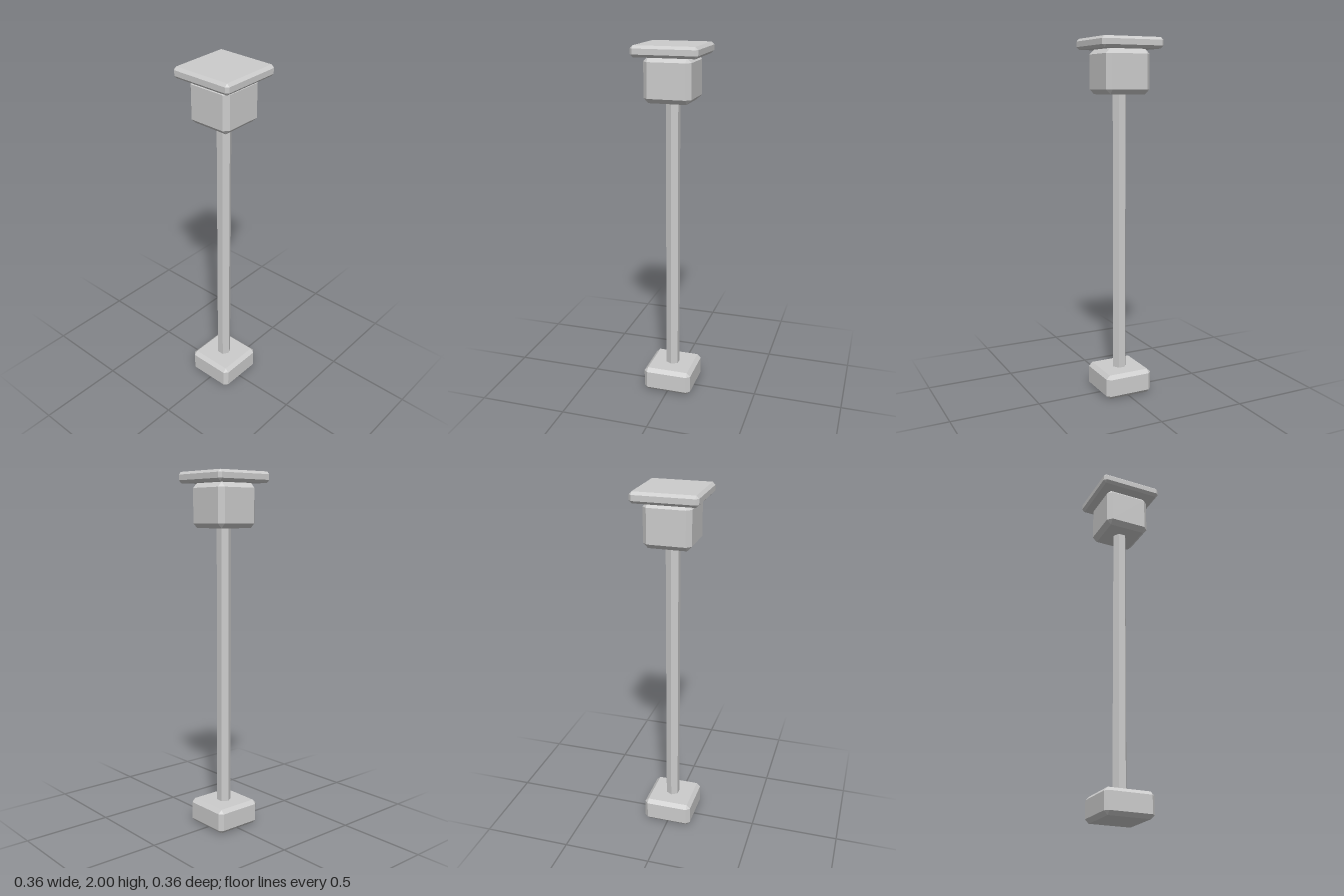
import * as THREE from 'three';
import { ConvexGeometry } from 'three/addons/geometries/ConvexGeometry.js';

// Square block with every edge bevelled, standing on y = 0
function bevelledBlock(half, height, bevel) {
  const points = [];
  const h = height / 2, a = half - bevel, b = h - bevel;
  for (const sx of [-1, 1]) for (const sy of [-1, 1]) for (const sz of [-1, 1]) {
    points.push(
      new THREE.Vector3(sx * half, sy * b, sz * a),
      new THREE.Vector3(sx * a, sy * h, sz * a),
      new THREE.Vector3(sx * a, sy * b, sz * half)
    );
  }
  return new ConvexGeometry(points).translate(0, h, 0);
}

export function createModel() {
  const model = new THREE.Group();
  model.name = 'lampPost';
  const grey = new THREE.MeshStandardMaterial({ color: 0xcccccc });
  grey.name = 'lightGrey';

  function add(name, geometry, y) {
    const mesh = new THREE.Mesh(geometry, grey);
    mesh.name = name;
    mesh.position.y = y;
    model.add(mesh);
  }

  // Foot, lamp housing and overhanging cap
  add('base', bevelledBlock(0.14, 0.14, 0.021), 0);
  add('lampHousing', bevelledBlock(0.13, 0.24, 0.026), 1.70);
  add('cap', bevelledBlock(0.18, 0.06, 0.015), 1.94);

  // Hexagonal pole with flat-shaded sides
  const pole = new THREE.CylinderGeometry(0.04, 0.04, 1.56, 6).toNonIndexed();
  pole.computeVertexNormals();
  add('pole', pole, 0.92);

  return model;
}
